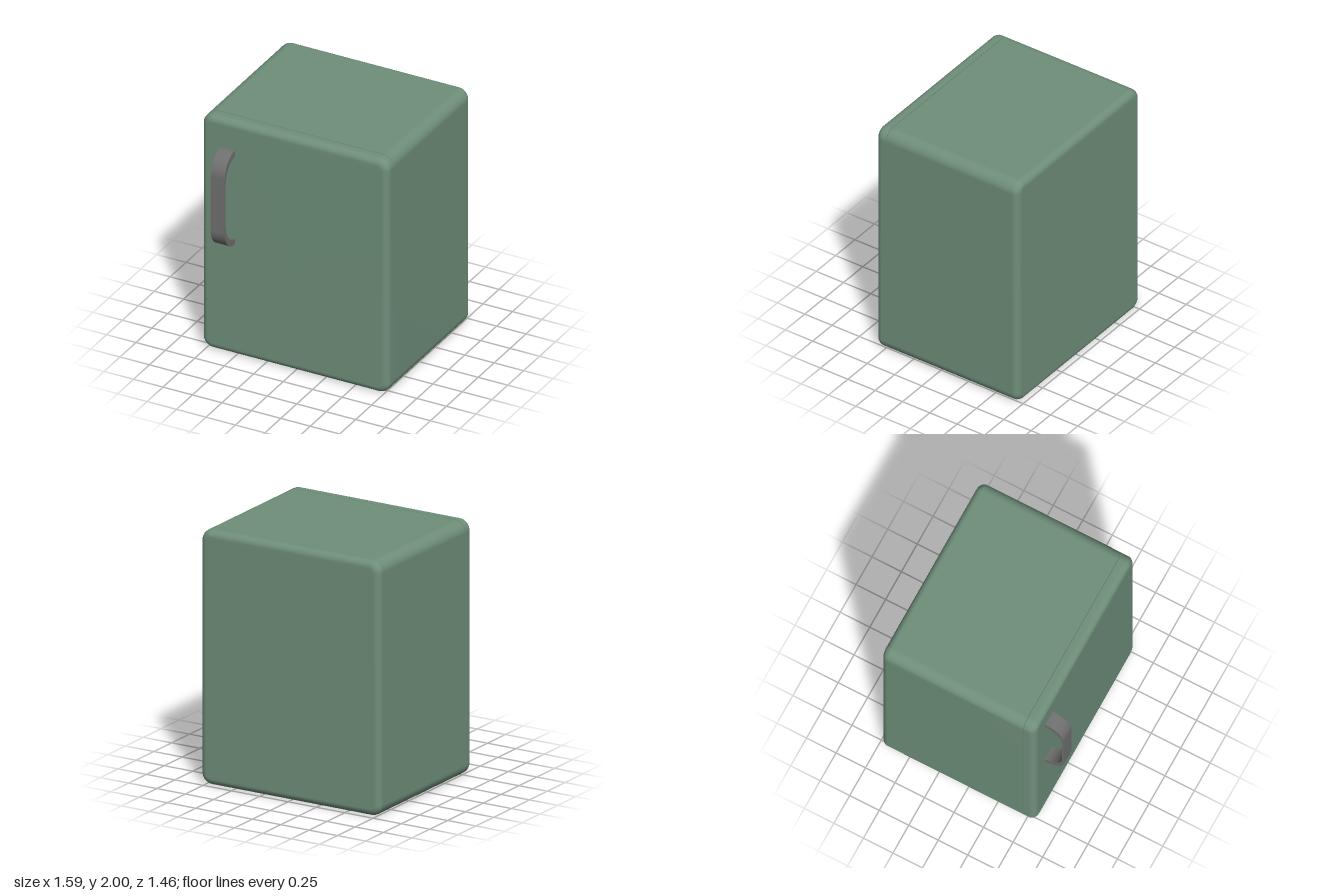
import * as THREE from 'three';
import { toCreasedNormals } from 'three/addons/utils/BufferGeometryUtils.js';

const HALF_W = 0.793, HALF_H = 1, CORNER = 0.09, BEVEL = 0.055, STEPS = 8;

// Rounded rectangle outline, inset from the full cabinet outline
function outline(inset, z) {
  const r = CORNER - inset, points = [];
  const corners = [[1, 1], [-1, 1], [-1, -1], [1, -1]];
  corners.forEach(([sx, sy], q) => {
    for (let i = 0; i <= STEPS; i++) {
      const a = (q + i / STEPS) * Math.PI / 2;
      points.push([
        sx * (HALF_W - CORNER) + r * Math.cos(a),
        HALF_H + sy * (HALF_H - CORNER) + r * Math.sin(a),
        z,
      ]);
    }
  });
  return points;
}

// Slab from a sharp-edged seam face at z = 0 to a rounded face at z = depth
function roundedSlab(depth) {
  const rings = [outline(0, 0)];
  for (let i = 0; i <= STEPS; i++) {
    const a = i / STEPS * Math.PI / 2;
    rings.push(outline(BEVEL * (1 - Math.cos(a)), depth - BEVEL * (1 - Math.sin(a))));
  }
  const n = rings[0].length, index = [];
  for (let k = 0; k < rings.length - 1; k++) {
    for (let i = 0; i < n; i++) {
      const a = k * n + i, b = k * n + (i + 1) % n;
      index.push(a, b, b + n, a, b + n, a + n);
    }
  }
  // Rounded face shares its rim; seam face has its own rim so it stays sharp
  const face = (rings.length - 1) * n, seam = rings.length * n;
  rings.push(outline(0, 0));
  for (let i = 1; i < n - 1; i++) {
    index.push(face, face + i, face + i + 1, seam, seam + i + 1, seam + i);
  }
  const geometry = new THREE.BufferGeometry();
  geometry.setAttribute('position', new THREE.Float32BufferAttribute(rings.flat(2), 3));
  geometry.setIndex(index);
  geometry.computeVertexNormals();
  return geometry;
}

// Bowed strap handle, drawn in side profile (z, y) and extruded across x
function handleGeometry() {
  const s = new THREE.Shape();
  const half = Math.PI / 2, base = 0.565;
  s.moveTo(base, 0.95);
  s.absellipse(base, 1.12, 0.165, 0.17, -half, 0, false);
  s.absellipse(base, 1.585, 0.165, 0.17, 0, half, false);
  s.absellipse(base, 1.525, 0.15, 0.18, half, 0, true);
  s.absellipse(base, 1.18, 0.15, 0.18, 0, -half, true);
  s.closePath();
  const g = new THREE.ExtrudeGeometry(s, { depth: 0.12, bevelEnabled: false, curveSegments: 14 });
  g.rotateY(-half);
  g.translate(-0.507, 0, 0);
  return toCreasedNormals(g, 0.6);
}

export function createModel() {
  const green = new THREE.MeshStandardMaterial({ color: 0x6f8f7a });
  green.name = 'sage green enamel';
  const grey = new THREE.MeshStandardMaterial({ color: 0x707070 });
  grey.name = 'grey metal';

  const model = new THREE.Group();
  model.name = 'miniFridge';
  const add = (name, geometry, material) => {
    const mesh = new THREE.Mesh(geometry, material);
    mesh.name = name;
    model.add(mesh);
    return mesh;
  };

  // Cabinet, turned so its rounded face is at the back
  const cabinet = add('cabinet', roundedSlab(1.202), green);
  cabinet.rotation.y = Math.PI;
  cabinet.position.z = 0.472;

  // Door, with a narrow seal closing the seam
  add('door', roundedSlab(0.095), green).position.z = 0.477;
  const seal = add('doorSeal', new THREE.BoxGeometry(1.53, 1.944, 0.02), green);
  seal.position.set(0, 1, 0.4745);

  add('doorHandle', handleGeometry(), grey);
  return model;
}
